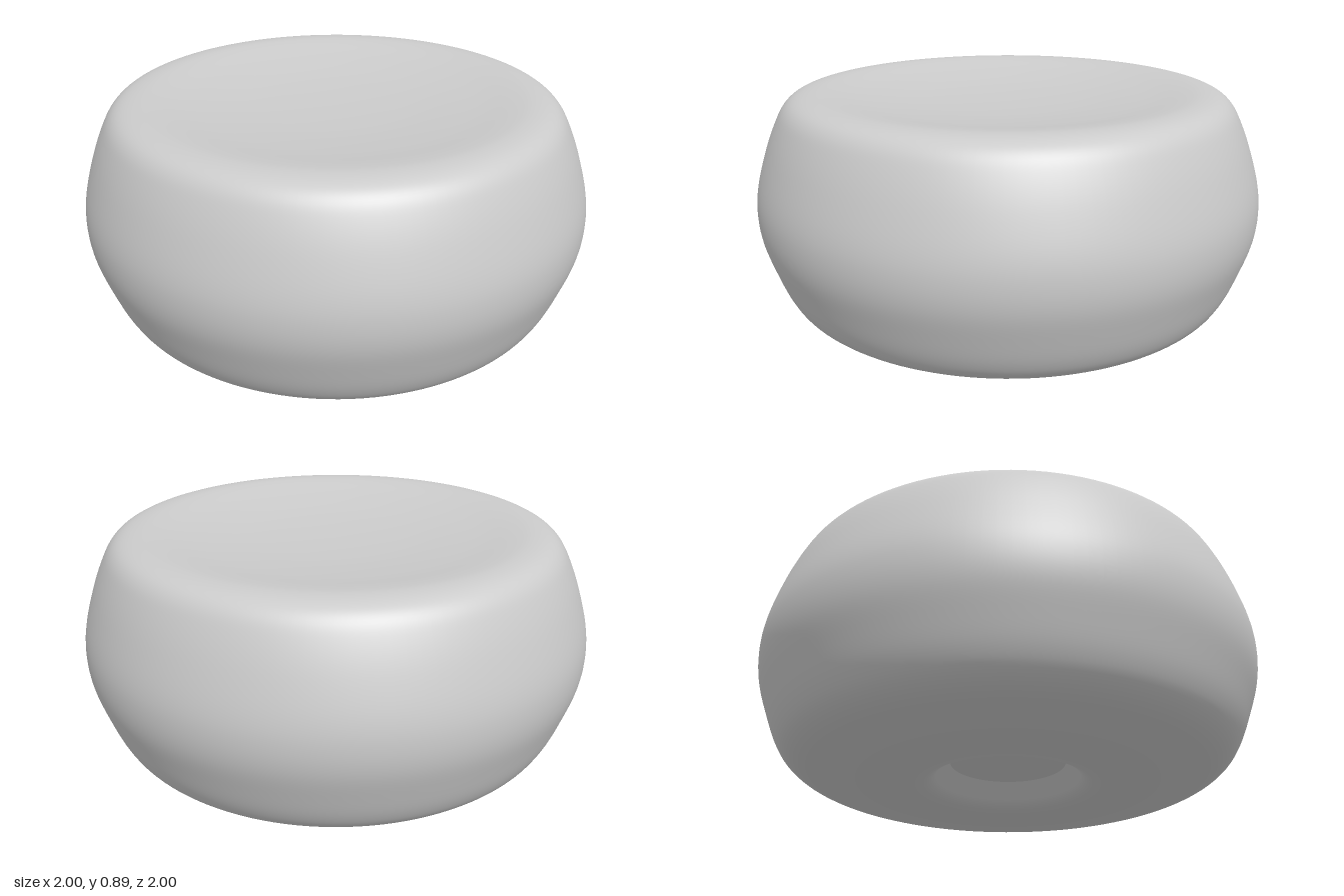
import * as THREE from 'three';

const SEGMENTS = 128;
const material = new THREE.MeshStandardMaterial({ color: 0xcccccc });

function addPart(group, name, geometry) {
  const mesh = new THREE.Mesh(geometry, material);
  mesh.name = name;
  group.add(mesh);
  return mesh;
}

export function createModel() {
  const group = new THREE.Group();
  group.name = 'cushion';

  // Profile from the recess wall, under the base, round the side and into the dished top
  const profile = [
    [0.23, 0.1], [0.265, 0.062], [0.3, 0.025], [0.345, 0.006], [0.42, 0.003],
    [0.55, 0.006], [0.7, 0.02], [0.8, 0.042], [0.87, 0.085], [0.915, 0.15],
    [0.955, 0.25], [0.99, 0.36], [1, 0.46], [0.988, 0.56], [0.95, 0.69],
    [0.91, 0.79], [0.875, 0.85], [0.83, 0.882], [0.765, 0.894], [0.69, 0.889],
    [0.55, 0.868], [0.35, 0.847], [0.17, 0.838], [0, 0.835],
  ].map(([r, y]) => new THREE.Vector2(r, y));
  const outline = new THREE.SplineCurve(profile).getPoints(115);
  outline.forEach((p) => { p.x = Math.max(0, p.x); });
  addPart(group, 'roundBody', new THREE.LatheGeometry(outline, SEGMENTS));

  // Flat, downward-facing floor of the recess underneath
  const floor = new THREE.CircleGeometry(0.23, SEGMENTS).rotateX(Math.PI / 2);
  addPart(group, 'recessFloor', floor).position.y = 0.1;

  return group;
}
